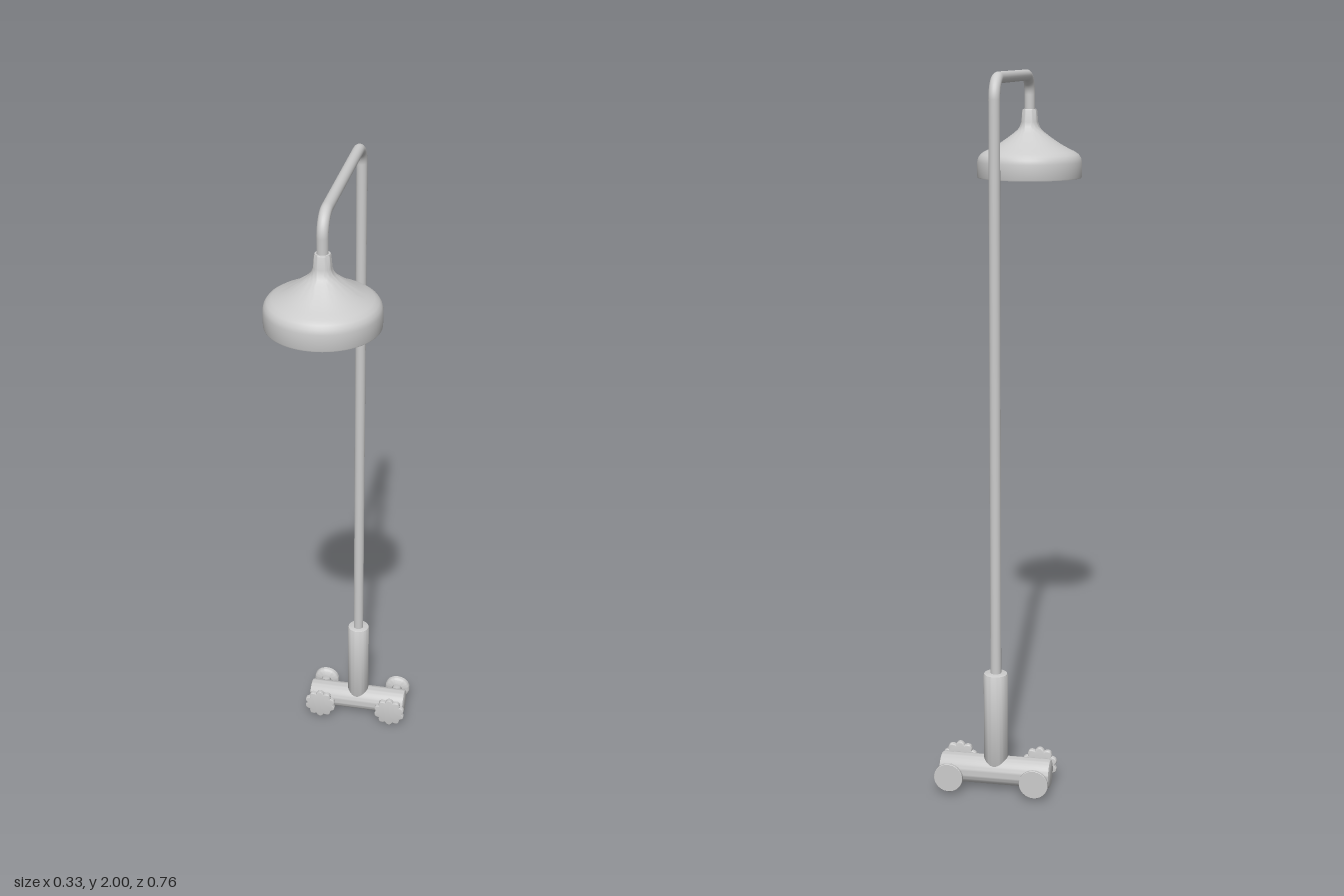
import * as THREE from 'three';
import { toCreasedNormals } from 'three/addons/utils/BufferGeometryUtils.js';

const BODY_Y = 0.051, BODY_Z = -0.3, HEAD_Z = 0.225;

export function createModel() {
  const model = new THREE.Group();
  const material = new THREE.MeshStandardMaterial({ color: 0xcccccc });

  function add(name, geometry, x, y, z) {
    const mesh = new THREE.Mesh(geometry, material);
    mesh.name = name;
    mesh.position.set(x, y, z);
    model.add(mesh);
    return mesh;
  }

  // Lathe from [radius, height] pairs, listed bottom to top
  function turned(profile, segments = 40) {
    const points = profile.map(([r, y]) => new THREE.Vector2(r, y));
    return toCreasedNormals(new THREE.LatheGeometry(points, segments), 0.7);
  }

  // Closed rod with softened end edges, centred on its middle
  function rod(r, length, b) {
    const h = length / 2, c = b * 0.3;
    return turned([[0, -h], [r - b, -h], [r - c, -h + c], [r, -h + b],
      [r, h - b], [r - c, h - c], [r - b, h], [0, h]]);
  }

  // Horizontal valve body and upright column
  add('valveBody', rod(0.041, 0.318, 0.007), 0, BODY_Y, BODY_Z).rotation.z = Math.PI / 2;
  add('column', rod(0.034, 0.282, 0.005), 0, 0.204, BODY_Z);

  // Riser pipe with two rounded bends, ending in the shower head
  const top = 1.9845, bend = 0.055, zBack = -0.298;
  const v = (y, z) => new THREE.Vector3(0, y, z);
  const k = bend * 0.448;
  const path = new THREE.CurvePath();
  path.add(new THREE.LineCurve3(v(0.3, zBack), v(top - bend, zBack)));
  path.add(new THREE.CubicBezierCurve3(v(top - bend, zBack), v(top - k, zBack),
    v(top, zBack + k), v(top, zBack + bend)));
  path.add(new THREE.LineCurve3(v(top, zBack + bend), v(top, HEAD_Z - bend)));
  path.add(new THREE.CubicBezierCurve3(v(top, HEAD_Z - bend), v(top, HEAD_Z - k),
    v(top - k, HEAD_Z), v(top - bend, HEAD_Z)));
  path.add(new THREE.LineCurve3(v(top - bend, HEAD_Z), v(1.86, HEAD_Z)));
  add('riserPipe', new THREE.TubeGeometry(path, 300, 0.0155, 20), 0, 0, 0);

  // Bell-shaped head with a shallow recessed face underneath
  add('showerHead', turned([
    [0, 1.697], [0.146, 1.697], [0.147, 1.689], [0.153, 1.689], [0.154, 1.692],
    [0.154, 1.735], [0.151, 1.747], [0.144, 1.757], [0.132, 1.765], [0.115, 1.773],
    [0.09, 1.787], [0.065, 1.804], [0.045, 1.819], [0.035, 1.828], [0.029, 1.837],
    [0.025, 1.85], [0.022, 1.883], [0.02, 1.887], [0, 1.887],
  ], 64), 0, 0, HEAD_Z);

  // Ten-lobed outline of the tap wheels, one lobe straight up
  const outline = [];
  for (let i = 0; i < 120; i++) {
    const a = i / 120 * Math.PI * 2;
    const r = 0.0375 + 0.0095 * Math.pow(Math.abs(Math.cos(5 * a)), 1.2);
    outline.push(new THREE.Vector2(r * Math.sin(-a), r * Math.cos(a)));
  }
  const wheel = toCreasedNormals(new THREE.ExtrudeGeometry(new THREE.Shape(outline), {
    depth: 0.008, bevelEnabled: true, bevelSize: 0.004, bevelThickness: 0.004, bevelSegments: 3,
  }), 0.6);

  for (const [side, s] of [['left', 1], ['right', -1]]) {
    // Tap on the front
    add(side + 'TapStem', rod(0.006, 0.04, 0.001), s * 0.117, BODY_Y, -0.257)
      .rotation.x = Math.PI / 2;
    add(side + 'TapWheel', wheel, s * 0.117, BODY_Y, -0.243);

    // Wall mount on the back: neck and round flange
    add(side + 'MountNeck', rod(0.0165, 0.06, 0.001), s * 0.122, BODY_Y, -0.345)
      .rotation.x = Math.PI / 2;
    const flange = turned([[0, 0], [0.04, 0], [0.041, 0.001], [0.041, 0.009],
      [0.039, 0.013], [0.035, 0.016], [0, 0.016]]);
    add(side + 'MountFlange', flange, s * 0.122, BODY_Y, -0.381).rotation.x = Math.PI / 2;
  }
  return model;
}
